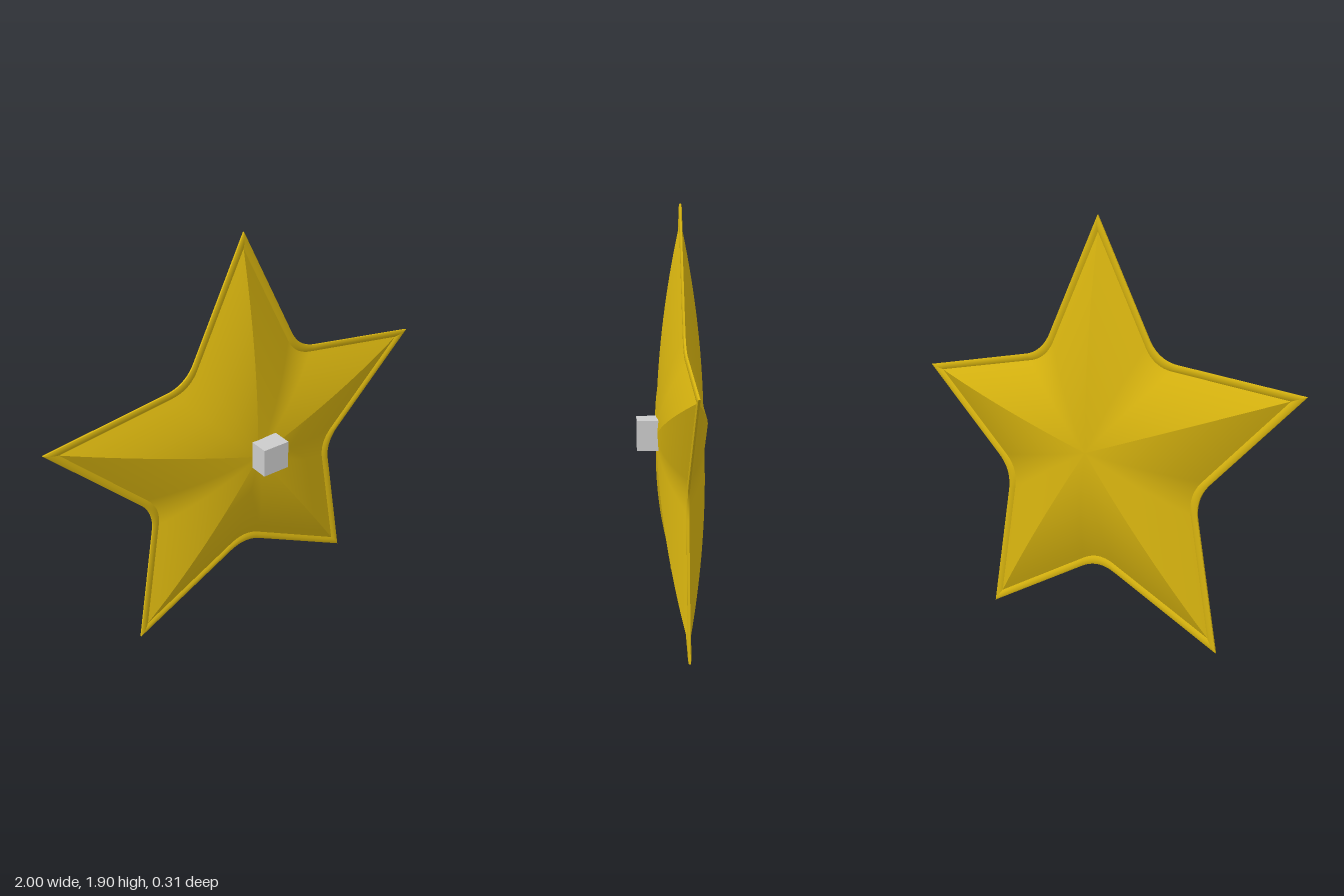
import * as THREE from 'three';

const CENTRE_Y = 0.85, MID_Z = -0.045;
const TIP_R = 1.05, VALLEY_R = 0.528, FILLET = 0.1;
const DOME_H = 0.11, DOME_EDGE = 0.93;

// One sector of the outline, from tip to tip through a rounded valley
function sectorOutline(i) {
  const polar = (r, deg) => new THREE.Vector2(r, 0)
    .rotateAround(new THREE.Vector2(), THREE.MathUtils.degToRad(deg));
  const start = 90 + i * 72;
  const tipA = polar(TIP_R, start), valley = polar(VALLEY_R, start + 36), tipB = polar(TIP_R, start + 72);
  const toward = (tip) => valley.clone().add(tip.clone().sub(valley).setLength(FILLET));
  const a = toward(tipA), b = toward(tipB);
  return [
    ...new THREE.LineCurve(tipA, a).getPoints(8),
    ...new THREE.QuadraticBezierCurve(a, valley, b).getPoints(12).slice(1),
    ...new THREE.LineCurve(b, tipB).getPoints(8).slice(1),
  ];
}

// Sweeps [scale, height] rings of the outline; sectors stay separate so the ridges are crisp
function starSurface(profile) {
  const pos = [], index = [];
  for (let i = 0; i < 5; i++) {
    const line = sectorOutline(i), n = line.length, base = pos.length / 3;
    for (const [s, h] of profile) for (const p of line) pos.push(p.x * s, p.y * s, h);
    for (let k = 0; k < profile.length - 1; k++) {
      for (let j = 0; j < n - 1; j++) {
        const a = base + k * n + j, b = a + n;
        if (profile[k][0] > 0) index.push(a, b, a + 1);
        if (profile[k + 1][0] > 0) index.push(b, b + 1, a + 1);
      }
    }
  }
  const geo = new THREE.BufferGeometry();
  geo.setAttribute('position', new THREE.Float32BufferAttribute(pos, 3));
  geo.setIndex(index);
  geo.computeVertexNormals();
  return geo;
}

export function createModel() {
  const model = new THREE.Group();
  const gold = new THREE.MeshStandardMaterial({ color: 0xd9b50f });
  const grey = new THREE.MeshStandardMaterial({ color: 0xcccccc });

  const star = new THREE.Group();
  star.name = 'star';
  star.position.set(0, CENTRE_Y, MID_Z);
  model.add(star);
  const addPart = (name, profile) => {
    const mesh = new THREE.Mesh(starSurface(profile), gold);
    mesh.name = name;
    star.add(mesh);
  };

  // Domed faces, parabolic from the centre to a shallow groove inside the rim
  const dome = [];
  for (let k = 0; k <= 20; k++) {
    const t = k / 20;
    dome.push([t * DOME_EDGE, DOME_H * (1 - t * t)]);
  }
  addPart('frontDome', dome);
  addPart('backDome', dome.map(([s, h]) => [s, -h]).reverse());

  // Thin rim: groove wall, flat face and outer edge
  const rim = [[DOME_EDGE, 0], [0.955, 0.007], [0.985, 0.007], [1, 0.004]];
  addPart('frontRim', rim);
  addPart('rimEdge', [[1, 0.004], [1, -0.004]]);
  addPart('backRim', rim.map(([s, h]) => [s, -h]).reverse());

  // Small cube set into the front
  const cube = new THREE.Mesh(new THREE.BoxGeometry(0.136, 0.138, 0.136), grey);
  cube.name = 'cube';
  cube.position.set(0.036, 0.87, 0.087);
  model.add(cube);

  return model;
}
